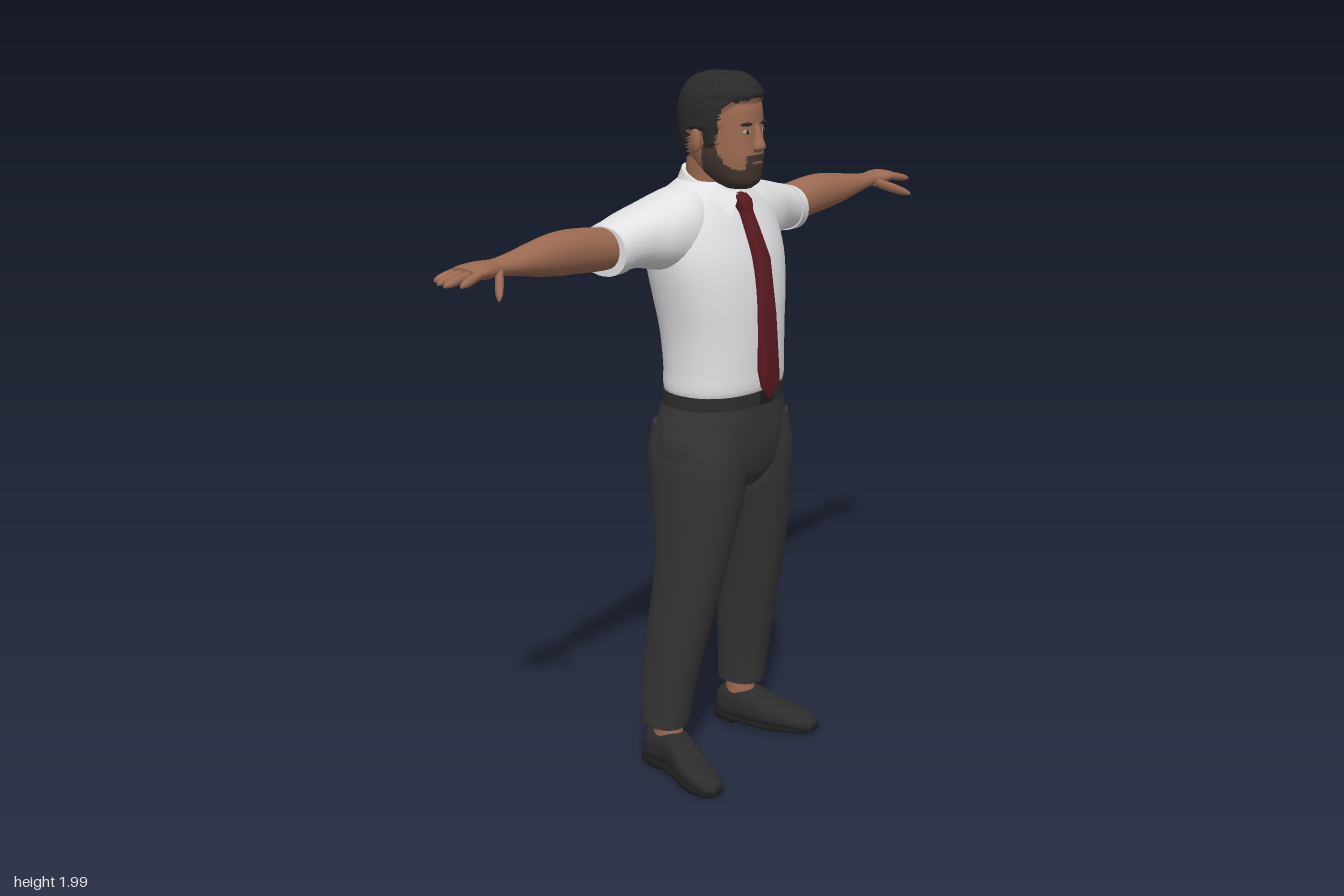
import * as THREE from 'three';

const material = (name, color) => {
  const m = new THREE.MeshStandardMaterial({ color });
  m.name = name;
  return m;
};

// Lofts superelliptic rings along an axis. Section: [w, uMin, uMax, vMin, vMax]
// (u,v) = (y,z) along x, (z,x) along y, (x,y) along z. w must increase.
function loft(axis, sections, { n = 28, k = 4, p = 2 } = {}) {
  const slope = (i, c) => {
    const a = sections[Math.max(i - 1, 0)], b = sections[Math.min(i + 1, sections.length - 1)];
    return (b[c] - a[c]) / (b[0] - a[0]);
  };
  const rows = [];
  for (let i = 0; i < sections.length - 1; i++) {
    const A = sections[i], B = sections[i + 1], h = B[0] - A[0];
    for (let s = 0; s < k; s++) {
      const t = s / k, t2 = t * t, t3 = t2 * t;
      rows.push(A.map((a, c) => c === 0 ? a + h * t :
        (2 * t3 - 3 * t2 + 1) * a + (t3 - 2 * t2 + t) * h * slope(i, c) +
        (3 * t2 - 2 * t3) * B[c] + (t3 - t2) * h * slope(i + 1, c)));
    }
  }
  rows.push(sections[sections.length - 1]);
  const pos = [], idx = [];
  const put = (w, u, v) => pos.push(...(axis === 'x' ? [w, u, v] : axis === 'y' ? [v, w, u] : [u, v, w]));
  const curve = (x) => Math.sign(x) * Math.pow(Math.abs(x), 2 / p);
  const ring = ([w, u0, u1, v0, v1]) => {
    for (let j = 0; j < n; j++) {
      const a = (j / n) * Math.PI * 2;
      put(w, (u0 + u1) / 2 + (u1 - u0) / 2 * curve(Math.cos(a)), (v0 + v1) / 2 + (v1 - v0) / 2 * curve(Math.sin(a)));
    }
  };
  rows.forEach(ring);
  for (let i = 0; i < rows.length - 1; i++) for (let j = 0; j < n; j++) {
    const a = i * n + j, b = i * n + (j + 1) % n;
    idx.push(a, b, b + n, a, b + n, a + n);
  }
  // End caps with their own vertices
  [rows[0], rows[rows.length - 1]].forEach((r, end) => {
    const s = pos.length / 3;
    ring(r);
    put(r[0], (r[1] + r[2]) / 2, (r[3] + r[4]) / 2);
    for (let j = 0; j < n; j++) {
      const a = s + j, b = s + (j + 1) % n;
      idx.push(s + n, end ? a : b, end ? b : a);
    }
  });
  const g = new THREE.BufferGeometry();
  g.setAttribute('position', new THREE.Float32BufferAttribute(pos, 3));
  g.setIndex(idx);
  g.computeVertexNormals();
  return g;
}

// Mirrors an indexed geometry across x = 0
function mirrored(src) {
  const g = src.clone().scale(-1, 1, 1), ix = g.index.array;
  for (let i = 0; i < ix.length; i += 3) [ix[i], ix[i + 1]] = [ix[i + 1], ix[i]];
  g.computeVertexNormals();
  return g;
}

const piecewise = (pts, x) => {
  if (x <= pts[0][0]) return pts[0][1];
  for (let i = 1; i < pts.length; i++) if (x <= pts[i][0]) {
    const [a, b] = [pts[i - 1], pts[i]];
    return a[1] + (b[1] - a[1]) * (x - a[0]) / (b[0] - a[0]);
  }
  return pts[pts.length - 1][1];
};

export function createModel() {
  const model = new THREE.Group();
  const shirt = material('shirt white', 0xe2e2e5), red = material('tie red', 0x5a1a20);
  const cloth = material('trouser charcoal', 0x353536), skin = material('skin', 0x9c6a52);
  const hair = material('hair', 0x2a2a2b), beard = material('beard', 0x44362f);
  const leather = material('leather', 0x2c2c2e), soleMat = material('sole', 0x1c1c1d);
  const lip = material('lip', 0x7d4c41), eyeWhite = material('eye white', 0xb5a59a);
  shirt.side = THREE.DoubleSide;

  const add = (name, geo, mat) => {
    const m = new THREE.Mesh(geo, mat);
    m.name = name;
    model.add(m);
  };
  const pair = (name, geo, mat) => {
    add('left ' + name, geo, mat);
    add('right ' + name, mirrored(geo), mat);
  };

  // Shirt body
  add('shirt body', loft('y', [
    [1.125, -0.13, 0.137, -0.184, 0.184], [1.15, -0.136, 0.146, -0.19, 0.19], [1.2, -0.136, 0.147, -0.189, 0.189],
    [1.3, -0.146, 0.146, -0.194, 0.194], [1.4, -0.16, 0.14, -0.212, 0.212],
    [1.5, -0.17, 0.122, -0.23, 0.23], [1.58, -0.171, 0.09, -0.228, 0.228],
    [1.63, -0.166, 0.064, -0.2, 0.2], [1.67, -0.15, 0.04, -0.145, 0.145], [1.7, -0.125, 0.02, -0.09, 0.09],
  ], { n: 40, p: 2.3 }), shirt);

  // Short sleeves with a hem
  pair('sleeve', loft('x', [
    [0.06, 1.5, 1.703, -0.15, 0.03], [0.15, 1.47, 1.687, -0.17, 0.052], [0.23, 1.485, 1.668, -0.17, 0.042],
    [0.31, 1.502, 1.65, -0.16, 0.016], [0.405, 1.5, 1.625, -0.147, 0.0],
  ], { p: 2.2 }), shirt);
  pair('sleeve hem', loft('x', [
    [0.378, 1.497, 1.634, -0.153, 0.008], [0.412, 1.496, 1.626, -0.149, 0.004],
  ], { k: 1, p: 2.2 }), shirt);

  // Collar band sloping down to the front, and two pointed flaps
  const band = loft('y', [[1.64, -0.14, 0.062, -0.098, 0.098], [1.7, -0.12, 0.045, -0.077, 0.077]], { k: 1 });
  const bp = band.attributes.position;
  for (let i = 0; i < bp.count; i++) bp.setY(i, bp.getY(i) - 0.4 * (bp.getZ(i) + 0.03));
  band.computeVertexNormals();
  add('collar band', band, shirt);
  const flap = new THREE.BufferGeometry();
  flap.setAttribute('position', new THREE.Float32BufferAttribute(
    [0.012, 1.668, 0.064, 0.07, 1.613, 0.082, 0.098, 1.66, 0.04, 0.083, 1.706, -0.02], 3));
  flap.setIndex([0, 1, 2, 0, 2, 3]);
  flap.computeVertexNormals();
  pair('collar flap', flap, shirt);

  // Tie
  add('tie blade', loft('y', [
    [1.115, 0.155, 0.163, -0.004, 0.004], [1.155, 0.155, 0.17, -0.04, 0.04], [1.2, 0.14, 0.171, -0.039, 0.039],
    [1.35, 0.125, 0.163, -0.034, 0.034], [1.5, 0.1, 0.146, -0.029, 0.029],
    [1.58, 0.07, 0.112, -0.024, 0.024], [1.635, 0.05, 0.088, -0.018, 0.018],
  ], { k: 1, n: 16, p: 4 }), red);
  add('tie knot', loft('y', [
    [1.622, 0.05, 0.096, -0.019, 0.019], [1.652, 0.035, 0.086, -0.029, 0.029], [1.668, 0.03, 0.068, -0.024, 0.024],
  ], { k: 2, n: 16, p: 3 }), red);

  // Trousers, belt and buckle
  add('trouser seat', loft('y', [
    [0.855, -0.11, 0.1, -0.11, 0.11], [0.9, -0.146, 0.13, -0.2, 0.2], [0.98, -0.157, 0.144, -0.222, 0.222],
    [1.05, -0.15, 0.144, -0.208, 0.208], [1.115, -0.136, 0.141, -0.188, 0.188],
  ], { n: 36, p: 2.3 }), cloth);
  pair('trouser leg', loft('y', [
    [0.145, -0.14, 0.002, 0.126, 0.248], [0.25, -0.14, 0.02, 0.12, 0.246], [0.4, -0.132, 0.052, 0.1, 0.24],
    [0.6, -0.113, 0.095, 0.066, 0.229], [0.75, -0.12, 0.12, 0.03, 0.226],
    [0.85, -0.137, 0.133, 0.003, 0.225], [0.95, -0.15, 0.138, 0.0, 0.222], [1.04, -0.14, 0.13, 0.0, 0.205],
  ], { p: 2.3 }), cloth);
  add('belt', loft('y', [
    [1.1, -0.143, 0.147, -0.194, 0.194], [1.137, -0.139, 0.146, -0.191, 0.191],
  ], { k: 1, n: 36, p: 2.3 }), leather);
  add('buckle', new THREE.BoxGeometry(0.05, 0.036, 0.012).translate(0, 1.118, 0.147), soleMat);

  // Ankles and shoes, toes turned out
  pair('ankle', loft('y', [
    [0.05, -0.118, -0.01, 0.135, 0.222], [0.12, -0.112, -0.018, 0.14, 0.215], [0.19, -0.115, -0.02, 0.14, 0.22],
  ], { n: 16 }), skin);
  pair('shoe', loft('z', [
    [-0.142, 0.155, 0.2, 0.015, 0.085], [-0.125, 0.138, 0.216, 0.01, 0.108], [-0.06, 0.132, 0.226, 0.01, 0.122],
    [-0.02, 0.134, 0.237, 0.01, 0.118], [0.03, 0.15, 0.26, 0.01, 0.088], [0.09, 0.176, 0.277, 0.008, 0.064],
    [0.14, 0.2, 0.279, 0.008, 0.05], [0.165, 0.223, 0.262, 0.012, 0.032],
  ], { n: 24, p: 2.6 }), leather);
  pair('sole', loft('z', [
    [-0.145, 0.152, 0.203, 0.0, 0.022], [-0.125, 0.136, 0.219, 0.0, 0.022], [-0.065, 0.13, 0.229, 0.0, 0.022],
    [-0.058, 0.13, 0.23, 0.012, 0.022], [0.01, 0.143, 0.252, 0.008, 0.02], [0.05, 0.157, 0.268, 0.0, 0.016],
    [0.09, 0.174, 0.28, 0.0, 0.016], [0.14, 0.198, 0.281, 0.0, 0.016], [0.168, 0.221, 0.264, 0.006, 0.018],
  ], { n: 20, k: 1, p: 5 }), soleMat);

  // Arms and hands
  pair('arm', loft('x', [
    [0.36, 1.512, 1.615, -0.13, -0.015], [0.45, 1.515, 1.628, -0.135, -0.018], [0.53, 1.523, 1.636, -0.131, -0.018],
    [0.6, 1.53, 1.636, -0.125, -0.018], [0.68, 1.543, 1.626, -0.114, -0.018], [0.75, 1.558, 1.616, -0.1, -0.02],
    [0.82, 1.57, 1.611, -0.086, -0.024], [0.86, 1.57, 1.613, -0.097, -0.014],
    [0.9, 1.575, 1.612, -0.102, -0.008], [0.925, 1.58, 1.607, -0.1, -0.01],
  ], { n: 24, p: 2.1 }), skin);
  const digit = (a, b, r) => loft('x', [[0, 0.9], [0.4, 1], [0.8, 0.85], [1, 0.4]].map(([t, s]) => {
    const [x, y, z] = a.map((v, i) => v + (b[i] - v) * t);
    return [x, y - r * s, y + r * s, z - r * s, z + r * s];
  }), { n: 10, k: 2 });
  [[-0.088, -0.1, 0.97], [-0.066, -0.07, 0.99], [-0.042, -0.038, 1.0], [-0.02, -0.005, 0.98]].forEach(([z0, z1, x], i) =>
    pair('finger ' + (i + 1), digit([0.9, 1.594, z0], [x, 1.58, z1], 0.0115), skin));
  pair('thumb', digit([0.825, 1.585, -0.035], [0.91, 1.545, 0.043], 0.015), skin);

  // Neck
  add('neck', loft('y', [
    [1.62, -0.11, 0.03, -0.07, 0.07], [1.7, -0.112, 0.035, -0.066, 0.066], [1.79, -0.1, 0.04, -0.068, 0.068],
  ]), skin);

  // Head: one surface, with hair and beard areas chosen by rule and the hair raised
  const head = loft('y', [
    [1.684, 0.02, 0.088, -0.03, 0.03], [1.7, -0.01, 0.108, -0.055, 0.055], [1.73, -0.055, 0.114, -0.073, 0.073],
    [1.77, -0.09, 0.116, -0.084, 0.084], [1.81, -0.108, 0.114, -0.088, 0.088], [1.85, -0.116, 0.113, -0.09, 0.09],
    [1.9, -0.115, 0.109, -0.089, 0.089], [1.94, -0.1, 0.09, -0.079, 0.079],
    [1.965, -0.075, 0.06, -0.056, 0.056], [1.976, -0.045, 0.025, -0.028, 0.028],
  ], { n: 64, k: 7, p: 2.2 });
  const hairline = [[-0.13, 1.755], [-0.06, 1.77], [-0.045, 1.84], [0, 1.84], [0.01, 1.8], [0.04, 1.805],
    [0.052, 1.89], [0.08, 1.912], [0.12, 1.918]];
  const beardline = [[-0.02, 1.7], [-0.005, 1.79], [0.01, 1.83], [0.035, 1.8], [0.06, 1.755], [0.09, 1.738]];
  const isHair = (x, y, z) => y > piecewise(hairline, z);
  const isBeard = (x, y, z) => y < (z > 0.07 && Math.abs(x) < 0.038 ? 1.775 : piecewise(beardline, z));
  const hp = head.attributes.position, ix = head.index.array, areas = [[], [], []], v = new THREE.Vector3();
  for (let i = 0; i < ix.length; i += 3) {
    v.set(0, 0, 0);
    for (let c = 0; c < 3; c++) v.add(new THREE.Vector3().fromBufferAttribute(hp, ix[i + c]));
    const [x, y, z] = v.divideScalar(3).toArray();
    areas[isHair(x, y, z) ? 1 : isBeard(x, y, z) ? 2 : 0].push(ix[i], ix[i + 1], ix[i + 2]);
  }
  const crown = new THREE.Vector3(0, 1.84, -0.01), d = new THREE.Vector3();
  for (let i = 0; i < hp.count; i++) {
    v.fromBufferAttribute(hp, i);
    if (!isHair(v.x, v.y, v.z)) continue;
    const quiff = v.z > 0.02 && v.y > 1.92 ? 0.006 : 0;
    v.addScaledVector(d.subVectors(v, crown).normalize(), 0.01 + quiff);
    hp.setXYZ(i, v.x, Math.min(v.y, 1.986), v.z);
  }
  head.setIndex(areas.flat());
  let start = 0;
  areas.forEach((a, i) => { head.addGroup(start, a.length, i); start += a.length; });
  head.computeVertexNormals();
  add('head', head, [skin, hair, beard]);

  // Face
  const blob = (sx, sy, sz, x, y, z, turn = 0) =>
    new THREE.SphereGeometry(1, 16, 10).scale(sx, sy, sz).rotateY(turn).translate(x, y, z);
  add('nose', loft('y', [
    [1.783, 0.1, 0.124, -0.014, 0.014], [1.795, 0.1, 0.137, -0.02, 0.02],
    [1.82, 0.1, 0.13, -0.013, 0.013], [1.856, 0.1, 0.115, -0.01, 0.01],
  ], { n: 16 }), skin);
  add('mouth', blob(0.024, 0.005, 0.004, 0, 1.754, 0.1155), lip);
  pair('eye', blob(0.014, 0.006, 0.004, 0.036, 1.837, 0.1055, 0.25), eyeWhite);
  pair('iris', blob(0.006, 0.006, 0.003, 0.036, 1.837, 0.108, 0.25), hair);
  pair('eyebrow', blob(0.021, 0.005, 0.005, 0.037, 1.857, 0.1055, 0.25), hair);
  pair('ear', blob(0.011, 0.033, 0.02, 0.092, 1.812, -0.02, 0.3), skin);
  return model;
}
